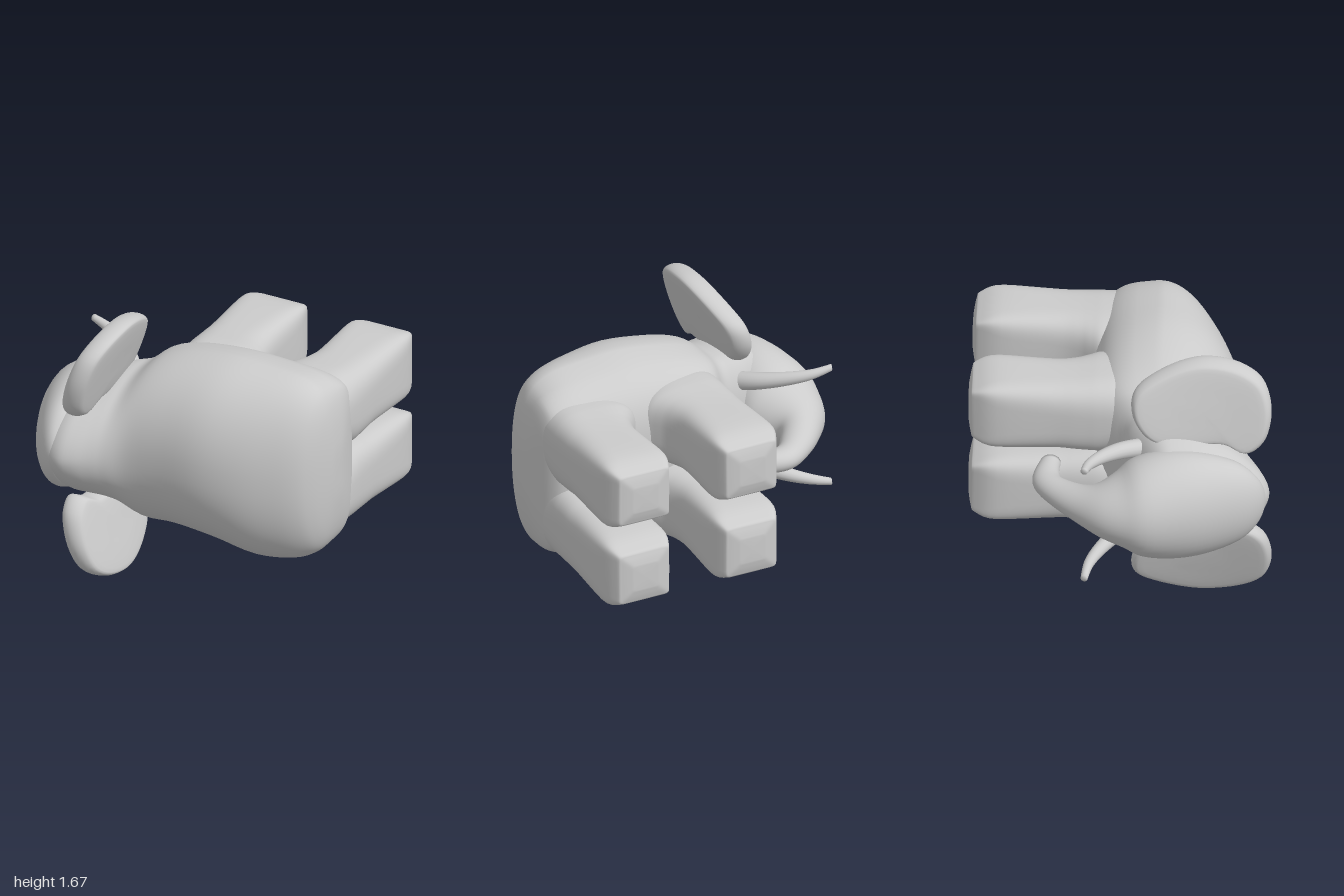
import * as THREE from 'three';

const MID = 0.837; // the animal lies on its side; this is its plane of symmetry
const material = new THREE.MeshStandardMaterial({ color: 0xcccccc });

// Smooth interpolation through rows of section parameters
function refine(rows, steps) {
  const out = [];
  const at = i => rows[Math.min(Math.max(i, 0), rows.length - 1)];
  for (let i = 0; i < rows.length - 1; i++) {
    for (let k = 0; k < steps; k++) {
      const t = k / steps;
      out.push(at(i).map((b, c) => {
        const a = at(i - 1)[c], d = at(i + 1)[c], e = at(i + 2)[c];
        return b + 0.5 * t * (d - a + t * (2 * a - 5 * b + 4 * d - e + t * (3 * (b - d) + e - a)));
      }));
    }
  }
  out.push(at(rows.length - 1));
  return out;
}

// Closed skin over the sections; point(row, cos, sin) places each vertex
function loft(name, rows, point, { steps = 4, sides = 40 } = {}) {
  const rings = refine(rows, steps);
  const pos = [], idx = [];
  for (const row of rings) {
    for (let j = 0; j < sides; j++) {
      const a = (j / sides) * Math.PI * 2;
      pos.push(...point(row, Math.cos(a), Math.sin(a)));
    }
  }
  for (let i = 0; i < rings.length - 1; i++) {
    for (let j = 0; j < sides; j++) {
      const a = i * sides + j, b = i * sides + (j + 1) % sides;
      idx.push(a, b, b + sides, a, b + sides, a + sides);
    }
  }
  // end caps
  for (const [ring, flip] of [[0, true], [rings.length - 1, false]]) {
    const base = ring * sides, centre = pos.length / 3, sum = [0, 0, 0];
    for (let j = 0; j < sides; j++) for (let c = 0; c < 3; c++) sum[c] += pos[(base + j) * 3 + c] / sides;
    pos.push(...sum);
    for (let j = 0; j < sides; j++) {
      const a = base + j, b = base + (j + 1) % sides;
      if (flip) idx.push(centre, b, a); else idx.push(centre, a, b);
    }
  }
  // turn all faces outward
  let volume = 0;
  const v = i => new THREE.Vector3().fromArray(pos, i * 3);
  for (let i = 0; i < idx.length; i += 3) volume += v(idx[i]).dot(v(idx[i + 1]).cross(v(idx[i + 2])));
  if (volume < 0) idx.reverse();

  const geometry = new THREE.BufferGeometry();
  geometry.setAttribute('position', new THREE.Float32BufferAttribute(pos, 3));
  geometry.setIndex(idx);
  geometry.computeVertexNormals();
  const mesh = new THREE.Mesh(geometry, material);
  mesh.name = name;
  return mesh;
}

// Superellipse coordinate: n = 2 is round, higher is boxier
const sq = (c, n) => Math.sign(c) * Math.abs(c) ** (2 / n);

function makeBody() {
  // x, centre y, half width, belly z, widest z, back z; the neck runs into the head
  const rows = [
    [-0.74, MID, 0.2, 0.25, 0.36, 0.74],
    [-0.66, MID, 0.33, 0.18, 0.34, 0.87],
    [-0.56, MID, 0.385, 0.12, 0.32, 0.92],
    [-0.47, MID, 0.405, 0.07, 0.29, 0.895],
    [-0.38, MID, 0.425, 0.03, 0.27, 0.835],
    [-0.3, 0.83, 0.45, 0.0, 0.25, 0.785],
    [-0.18, 0.838, 0.535, -0.12, 0.22, 0.74],
    [0.02, 0.87, 0.57, -0.17, 0.2, 0.73],
    [0.3, 0.875, 0.605, -0.185, 0.2, 0.73],
    [0.55, 0.84, 0.63, -0.185, 0.2, 0.675],
    [0.76, 0.837, 0.61, -0.18, 0.2, 0.58],
    [0.88, 0.84, 0.555, -0.15, 0.2, 0.5],
    [0.94, 0.84, 0.48, -0.08, 0.2, 0.42],
    [0.975, 0.84, 0.36, 0.02, 0.2, 0.34],
    [0.995, 0.84, 0.2, 0.11, 0.2, 0.27],
    [1.0, 0.84, 0.08, 0.17, 0.2, 0.23],
  ];
  return loft('body', rows, ([x, cy, w, lo, mid, hi], c, s) => {
    // the crown of the head is more pointed than the back
    const front = THREE.MathUtils.smoothstep(x, -0.5, -0.1);
    const top = THREE.MathUtils.lerp(1.8, 2.15, front);
    if (s > 0) return [x, cy + w * sq(c, top), mid + (hi - mid) * sq(s, top)];
    // flanks narrow to the width of the legs; the neck stays round
    const n = THREE.MathUtils.lerp(2.4, 4.2, front);
    const depth = -sq(s, n), taper = depth ** 1.3;
    const half = THREE.MathUtils.lerp(w, Math.min(w, 0.495), taper);
    return [x, THREE.MathUtils.lerp(cy, MID, taper) + half * sq(c, n), mid - (mid - lo) * depth];
  }, { sides: 72 });
}

function makeLeg(name, cx, outward, side) {
  // z, inner x, outer x, inner y, outer y (reaches from the leg axis and the plane of symmetry), boxiness
  const rows = [
    [0.24, 0.2, 0.1, 0.1, 0.36, 2.5],
    [0.12, 0.25, 0.2, 0.06, 0.455, 2.6],
    [0.0, 0.31, 0.235, 0.03, 0.5, 2.8],
    [-0.12, 0.345, 0.24, 0.0, 0.505, 3],
    [-0.2, 0.3, 0.238, 0.005, 0.5, 3.2],
    [-0.28, 0.255, 0.236, 0.015, 0.495, 3.4],
    [-0.42, 0.225, 0.232, 0.03, 0.492, 3.8],
    [-0.74, 0.22, 0.23, 0.045, 0.492, 6],
    [-0.88, 0.18, 0.182, 0.095, 0.448, 14],
    [-0.905, 0.15, 0.15, 0.125, 0.42, 14],
    [-0.922, 0.08, 0.08, 0.19, 0.35, 10],
  ];
  return loft(name, rows, ([z, inner, outer, y0, y1, n], c, s) => [
    cx + outward * (c > 0 ? outer : inner) * sq(c, n),
    MID + side * ((y0 + y1) / 2 + (y1 - y0) / 2 * sq(s, n)),
    z,
  ], { sides: 64 });
}

function makeHeadAndTrunk() {
  // face x, face z, throat x, throat z, half width
  const rows = [
    [-0.60, 0.905, -0.57, 0.895, 0.03],
    [-0.68, 0.875, -0.54, 0.82, 0.16],
    [-0.78, 0.77, -0.48, 0.68, 0.275],
    [-0.88, 0.58, -0.43, 0.44, 0.345],
    [-0.95, 0.40, -0.42, 0.22, 0.355],
    [-1.0, 0.20, -0.45, 0.06, 0.31],
    [-0.985, 0.06, -0.51, -0.02, 0.23],
    [-0.93, -0.10, -0.58, -0.10, 0.165],
    [-0.82, -0.25, -0.59, -0.16, 0.12],
    [-0.70, -0.38, -0.54, -0.25, 0.09],
    [-0.55, -0.495, -0.475, -0.335, 0.075],
    [-0.43, -0.52, -0.38, -0.36, 0.068],
    [-0.275, -0.48, -0.27, -0.355, 0.06],
  ];
  return loft('headAndTrunk', rows, ([x0, z0, x1, z1, w], c, s) => [
    (x0 + x1) / 2 + (x1 - x0) / 2 * c,
    MID + w * s,
    (z0 + z1) / 2 + (z1 - z0) / 2 * c,
  ]);
}

function makeEar(name, side) {
  // outline as z, y from the plane of symmetry
  const outline = [
    [0.08, 0.6], [0.11, 0.67], [0.22, 0.745], [0.4, 0.815], [0.55, 0.833], [0.75, 0.795],
    [0.875, 0.715], [0.925, 0.59], [0.925, 0.46], [0.885, 0.345], [0.79, 0.275], [0.65, 0.33],
    [0.4, 0.32], [0.2, 0.36], [0.1, 0.48],
  ].map(([z, y]) => new THREE.Vector3(0, y, z));
  const curve = new THREE.CatmullRomCurve3(outline, true);
  // offset through the thickness, size of the outline
  const rows = [[-0.078, 0.3], [-0.074, 0.82], [-0.056, 0.955], [0, 1], [0.056, 0.955], [0.074, 0.82], [0.078, 0.3]];
  return loft(name, rows, ([offset, size], c, s) => {
    const p = curve.getPoint((Math.atan2(s, c) / (Math.PI * 2) + 1) % 1);
    const y = 0.56 + (p.y - 0.56) * size, z = 0.5 + (p.z - 0.5) * size, dz = z - 0.5;
    return [-0.495 + 0.29 * (y - 0.275) + 0.05 * dz - 0.2 * dz * dz + offset, MID + side * y, z];
  }, { steps: 3, sides: 60 });
}

function makeTusk(name, side) {
  // x, y from the plane of symmetry, z, radius
  const rows = [
    [-0.42, 0.24, 0.22, 0.06],
    [-0.49, 0.27, 0.10, 0.058],
    [-0.57, 0.3, 0.0, 0.052],
    [-0.69, 0.335, -0.10, 0.042],
    [-0.81, 0.365, -0.165, 0.032],
    [-0.925, 0.395, -0.19, 0.022],
  ];
  return loft(name, rows, ([x, y, z, r], c, s) => {
    // sections turn with the bend of the tusk
    const a = THREE.MathUtils.mapLinear(x, -0.42, -0.925, 0.5, 1.35);
    return [x + r * c * Math.cos(a), MID + side * y + r * s, z - r * c * Math.sin(a)];
  }, { sides: 16 });
}

export function createModel() {
  const group = new THREE.Group();
  group.name = 'elephant';
  group.add(makeBody(), makeHeadAndTrunk());
  for (const [label, side] of [['upper', 1], ['lower', -1]]) {
    group.add(
      makeLeg(`${label}FrontLeg`, -0.01, -1, side),
      makeLeg(`${label}HindLeg`, 0.72, 1, side),
      makeEar(`${label}Ear`, side),
      makeTusk(`${label}Tusk`, side),
    );
  }
  return group;
}
